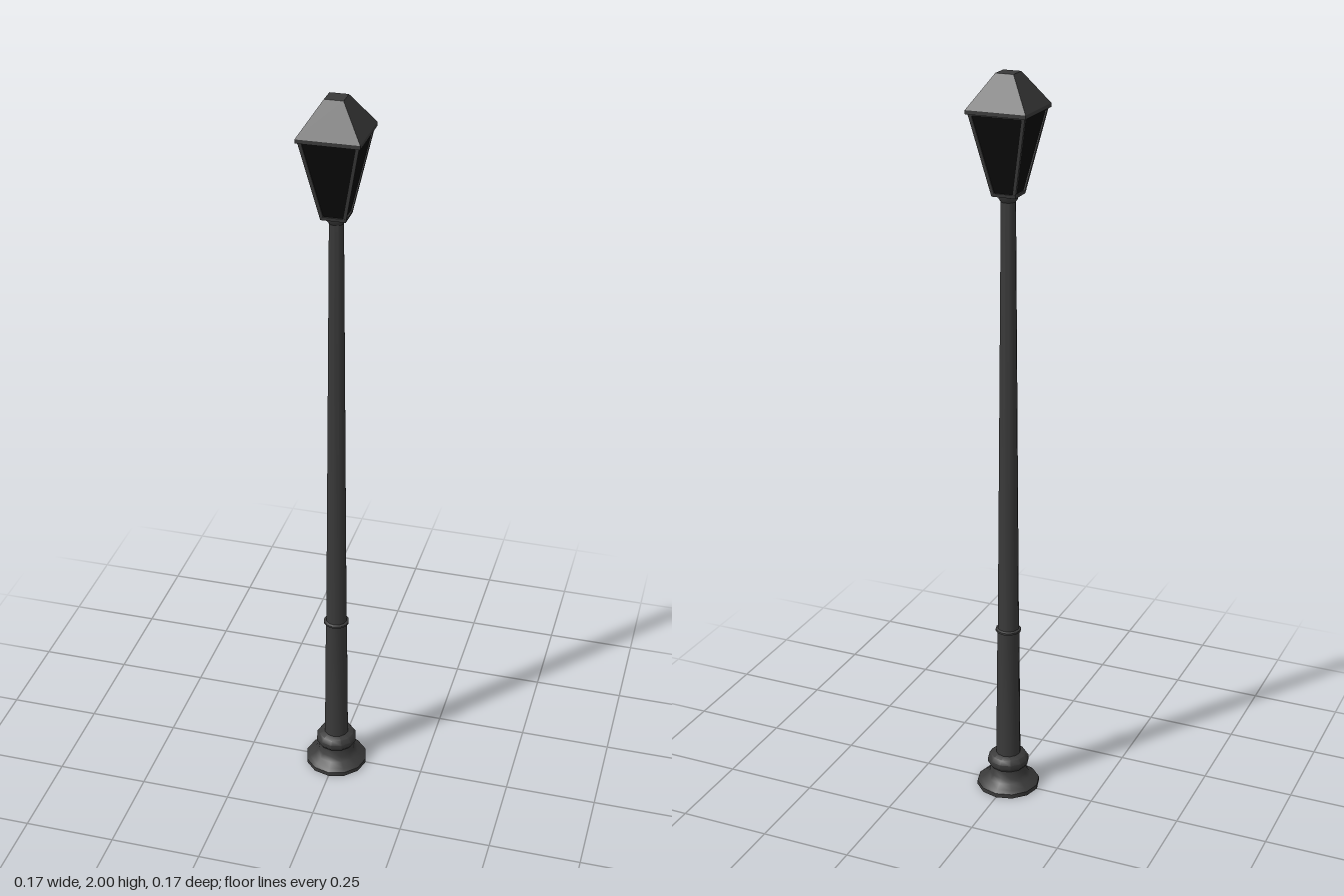
import * as THREE from 'three';
import { toCreasedNormals } from 'three/addons/utils/BufferGeometryUtils.js';

export function createModel() {
  const group = new THREE.Group();
  const iron = new THREE.MeshStandardMaterial({ color: 0x3a3a3a });
  iron.name = 'dark iron';
  const glass = new THREE.MeshStandardMaterial({ color: 0x0a0a0a });
  glass.name = 'black glass';

  const add = (name, geometry, material = iron) => {
    const mesh = new THREE.Mesh(geometry, material);
    mesh.name = name;
    group.add(mesh);
    return mesh;
  };

  // Twelve-sided turned part from [radius, height] pairs
  const turned = (name, profile) => add(name, toCreasedNormals(
    new THREE.LatheGeometry(profile.map(([r, y]) => new THREE.Vector2(r, y)), 12), 0.7));

  // Square frustum given by half widths at its bottom and top
  const frustum = (name, low, high, y0, y1, material) => {
    const g = new THREE.CylinderGeometry(high * Math.SQRT2, low * Math.SQRT2, y1 - y0, 4);
    g.rotateY(Math.PI / 4).translate(0, (y0 + y1) / 2, 0);
    return add(name, toCreasedNormals(g, 0.3), material);
  };

  // Post: flared foot, neck and collar, then the tapering shaft
  turned('base', [[0, 0], [0.087, 0], [0.087, 0.012], [0.078, 0.02], [0.062, 0.03], [0.053, 0.042],
    [0.049, 0.062], [0.057, 0.072], [0.057, 0.085], [0.049, 0.097], [0.034, 0.102]]);
  turned('lowerShaft', [[0.034, 0.095], [0.030, 0.485]]);
  turned('shaftRing', [[0.029, 0.479], [0.035, 0.482], [0.035, 0.487], [0.029, 0.49]]);
  turned('upperShaft', [[0.029, 0.485], [0.019, 1.695]]);
  turned('lanternCollar', [[0.018, 1.677], [0.024, 1.685], [0.028, 1.697], [0.028, 1.706], [0, 1.706]]);

  // Lantern: recessed dark glass between iron rails and corner bars
  const bottom = 1.695, top = 1.908, lowHalf = 0.032, highHalf = 0.076;
  frustum('glassPanes', lowHalf - 0.003, highHalf - 0.003, bottom + 0.004, top, glass);
  frustum('bottomRail', lowHalf, lowHalf + 0.002, bottom, bottom + 0.009);
  frustum('topRail', highHalf - 0.001, highHalf, top - 0.006, top);
  for (const sx of [-1, 1]) {
    for (const sz of [-1, 1]) {
      const bar = new THREE.BoxGeometry(0.009, top - bottom, 0.009);
      const p = bar.attributes.position;
      for (let i = 0; i < p.count; i++) {
        const offset = (p.getY(i) > 0 ? highHalf : lowHalf) - 0.0045;
        p.setXYZ(i, p.getX(i) + sx * offset, p.getY(i) + (top + bottom) / 2, p.getZ(i) + sz * offset);
      }
      bar.computeVertexNormals();
      add('cornerBar', bar);
    }
  }

  // Roof: thin eave slab and truncated pyramid
  frustum('eave', 0.08, 0.08, 1.906, 1.916).scale.z = 1.02;
  frustum('roof', 0.08, 0.024, 1.916, 2).scale.z = 1.02;
  return group;
}
